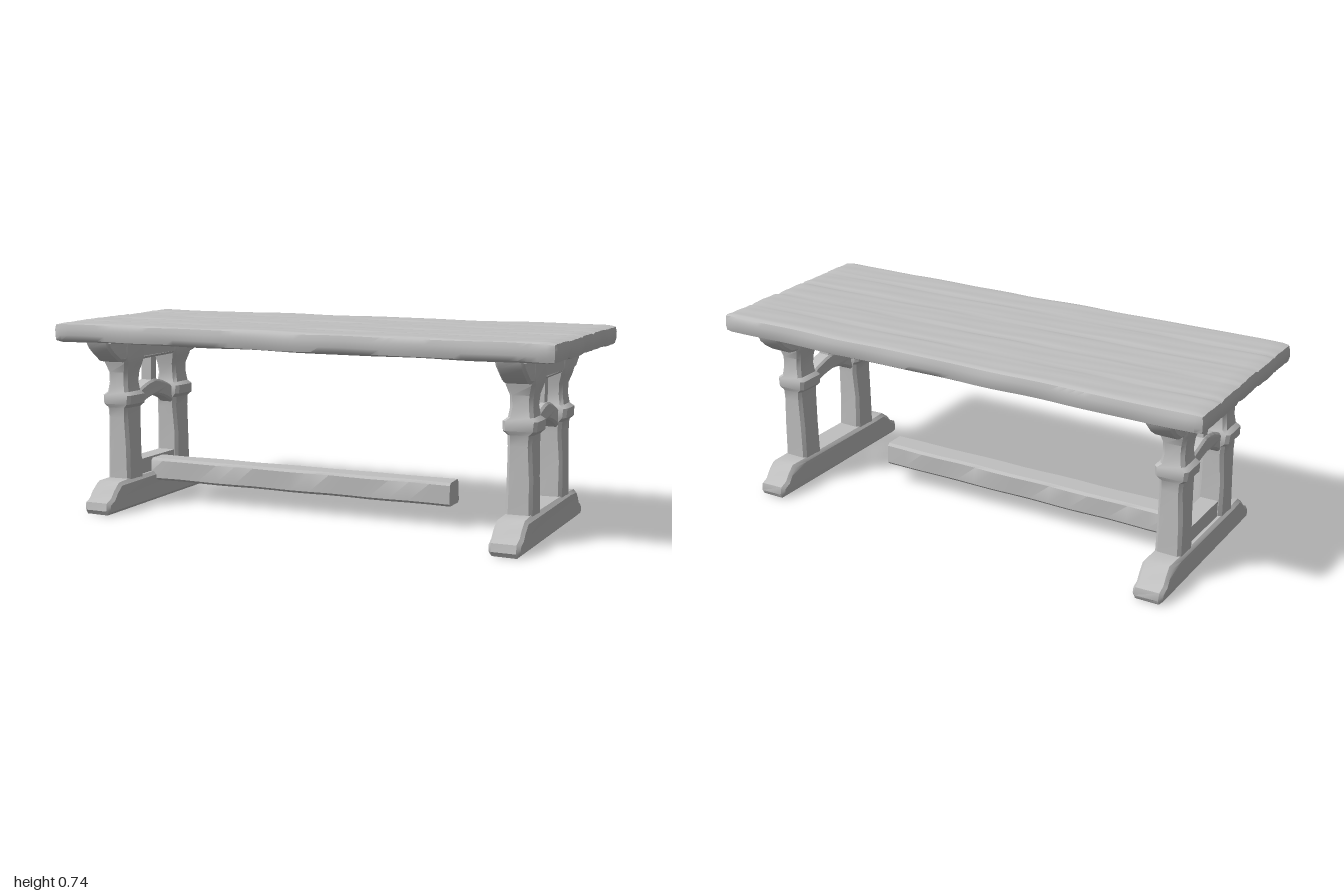
import * as THREE from 'three';
import { mergeVertices, toCreasedNormals } from 'three/addons/utils/BufferGeometryUtils.js';

const wood = new THREE.MeshStandardMaterial({ color: 0xc0c0c0 });
wood.name = 'pale wood';

// Hand-hewn unevenness: a smooth offset that depends only on position
function hew(geometry, amount, crease = 0.7) {
  geometry.deleteAttribute('uv');
  geometry.deleteAttribute('normal');
  const g = mergeVertices(geometry, 1e-4);
  const p = g.attributes.position;
  for (let i = 0; i < p.count; i++) {
    const x = p.getX(i), y = p.getY(i), z = p.getZ(i);
    p.setXYZ(i,
      x + amount * Math.sin(23 * y + 31 * z + 2),
      y + amount * 0.5 * Math.sin(19 * x + 27 * z),
      z + amount * Math.sin(29 * y + 17 * x + 1));
  }
  return toCreasedNormals(g, crease);
}

function part(name, geometry, parent) {
  const mesh = new THREE.Mesh(geometry, wood);
  mesh.name = name;
  parent.add(mesh);
  return mesh;
}

// Side profile in (z, y), given a width along x and a small bevel
function slab(shape, width, bevel = 0.008) {
  return new THREE.ExtrudeGeometry(shape, {
    depth: width - 2 * bevel, bevelEnabled: true, bevelSize: bevel, bevelOffset: -bevel,
    bevelThickness: bevel, bevelSegments: 1, curveSegments: 8,
  }).translate(0, 0, bevel - width / 2).rotateY(-Math.PI / 2);
}

// Profile mirrored about z = 0 from its +z half, listed from bottom to top
function mirrored(half) {
  const other = half.map(([z, y]) => [-z, y]).reverse();
  return new THREE.Shape([...half, ...other].map(([z, y]) => new THREE.Vector2(z, y)));
}

// Post: chamfered rectangular rings [y, inner z, outer z, half width in x]
function postGeometry() {
  const rings = [
    [0.08, 0.130, 0.238, 0.050], [0.14, 0.130, 0.238, 0.050], [0.25, 0.130, 0.238, 0.048],
    [0.36, 0.130, 0.238, 0.044], [0.40, 0.127, 0.240, 0.046], [0.415, 0.120, 0.247, 0.062],
    [0.45, 0.120, 0.247, 0.064], [0.463, 0.126, 0.240, 0.047], [0.50, 0.131, 0.237, 0.041],
    [0.54, 0.128, 0.236, 0.043], [0.575, 0.121, 0.245, 0.054], [0.60, 0.115, 0.250, 0.058],
    [0.675, 0.115, 0.250, 0.055],
  ];
  const pos = [], idx = [], c = 0.012;
  for (const [y, z0, z1, w] of rings) {
    const ring = [[w, z0 + c], [w, z1 - c], [w - c, z1], [c - w, z1],
      [-w, z1 - c], [-w, z0 + c], [c - w, z0], [w - c, z0]];
    for (const [x, z] of ring) pos.push(x, y, z);
  }
  for (let r = 0; r < rings.length - 1; r++) {
    for (let i = 0; i < 8; i++) {
      const a = r * 8 + i, b = r * 8 + (i + 1) % 8;
      idx.push(a, a + 8, b, b, a + 8, b + 8);
    }
  }
  const g = new THREE.BufferGeometry();
  g.setAttribute('position', new THREE.Float32BufferAttribute(pos, 3));
  g.setIndex(idx);
  return hew(g, 0.002);
}

// Tabletop: rounded slab with plank seams and slightly staggered plank ends
function topGeometry() {
  const half = new THREE.Vector3(1, 0.036, 0.405), r = 0.018;
  const inner = half.clone().subScalar(r);
  const g = new THREE.BoxGeometry(2, 0.072, 0.81, 60, 3, 50);
  const p = g.attributes.position, v = new THREE.Vector3(), core = new THREE.Vector3();
  for (let i = 0; i < p.count; i++) {
    v.fromBufferAttribute(p, i);
    core.copy(v).clamp(inner.clone().negate(), inner);
    v.sub(core).normalize().multiplyScalar(r).add(core);
    const row = Math.round((p.getZ(i) / 0.81 + 0.5) * 50);
    const plank = Math.floor(row / 10);
    if (row % 10 === 0 && row > 0 && row < 50) v.y -= Math.sign(v.y) * 0.004;
    v.x *= 1 - 0.002 * (plank % 3);
    v.y += 0.0012 * Math.sin(v.x * 11 + plank * 2.3) + 0.0008 * Math.sin(v.z * 90 + v.x * 5);
    p.setXYZ(i, v.x, v.y + 0.706, v.z);
  }
  return hew(g, 0.001, 0.8);
}

function trestle(name, x) {
  const group = new THREE.Group();
  group.name = name;
  group.position.x = x;

  // Foot with sloping toes
  part('foot', hew(slab(mirrored([[0.39, 0.003], [0.4, 0.02], [0.395, 0.05], [0.365, 0.065],
    [0.345, 0.09], [0.31, 0.117], [0.24, 0.119]]), 0.115, 0.012), 0.002), group);

  // Pair of posts with carved collars
  const post = postGeometry();
  for (const [side, turn] of [['front', 0], ['back', Math.PI]]) {
    part(side + 'Post', post, group).rotation.y = turn;
  }

  // Curved bearer under the top
  part('bearer', hew(slab(mirrored([[0.13, 0.585], [0.25, 0.582], [0.285, 0.588], [0.33, 0.617],
    [0.36, 0.645], [0.37, 0.674]]), 0.105, 0.01), 0.002), group);

  // Arched brace between the posts
  const arch = new THREE.Shape();
  arch.moveTo(-0.14, 0.37);
  arch.quadraticCurveTo(-0.09, 0.418, 0, 0.426);
  arch.quadraticCurveTo(0.09, 0.418, 0.14, 0.37);
  arch.lineTo(0.14, 0.445);
  arch.quadraticCurveTo(0.07, 0.487, 0, 0.49);
  arch.quadraticCurveTo(-0.07, 0.487, -0.14, 0.445);
  part('archBrace', hew(slab(arch, 0.065), 0.0015), group);

  // Small upright from the arch to the bearer
  part('kingPost', new THREE.BoxGeometry(0.045, 0.125, 0.038).translate(0, 0.54, 0), group);
  return group;
}

export function createModel() {
  const model = new THREE.Group();
  model.name = 'trestleTable';
  part('tabletop', topGeometry(), model);

  const left = trestle('leftTrestle', 0.823);
  const right = trestle('rightTrestle', -0.823);
  model.add(left, right);

  // Low rail carrying the stretcher, on the right trestle only
  part('lowRail', new THREE.BoxGeometry(0.07, 0.09, 0.28).translate(0, 0.135, 0), right);

  // Stretcher, fixed at one end and stopping short of the other trestle
  const beam = mirrored([[0.04, 0.083], [0.049, 0.092], [0.049, 0.163], [0.04, 0.173]]);
  const stretcher = new THREE.ExtrudeGeometry(beam, { depth: 1.32, steps: 16, bevelEnabled: false });
  stretcher.rotateY(-Math.PI / 2).translate(0.5, 0, 0);
  part('stretcher', hew(stretcher, 0.0015), model);
  return model;
}
